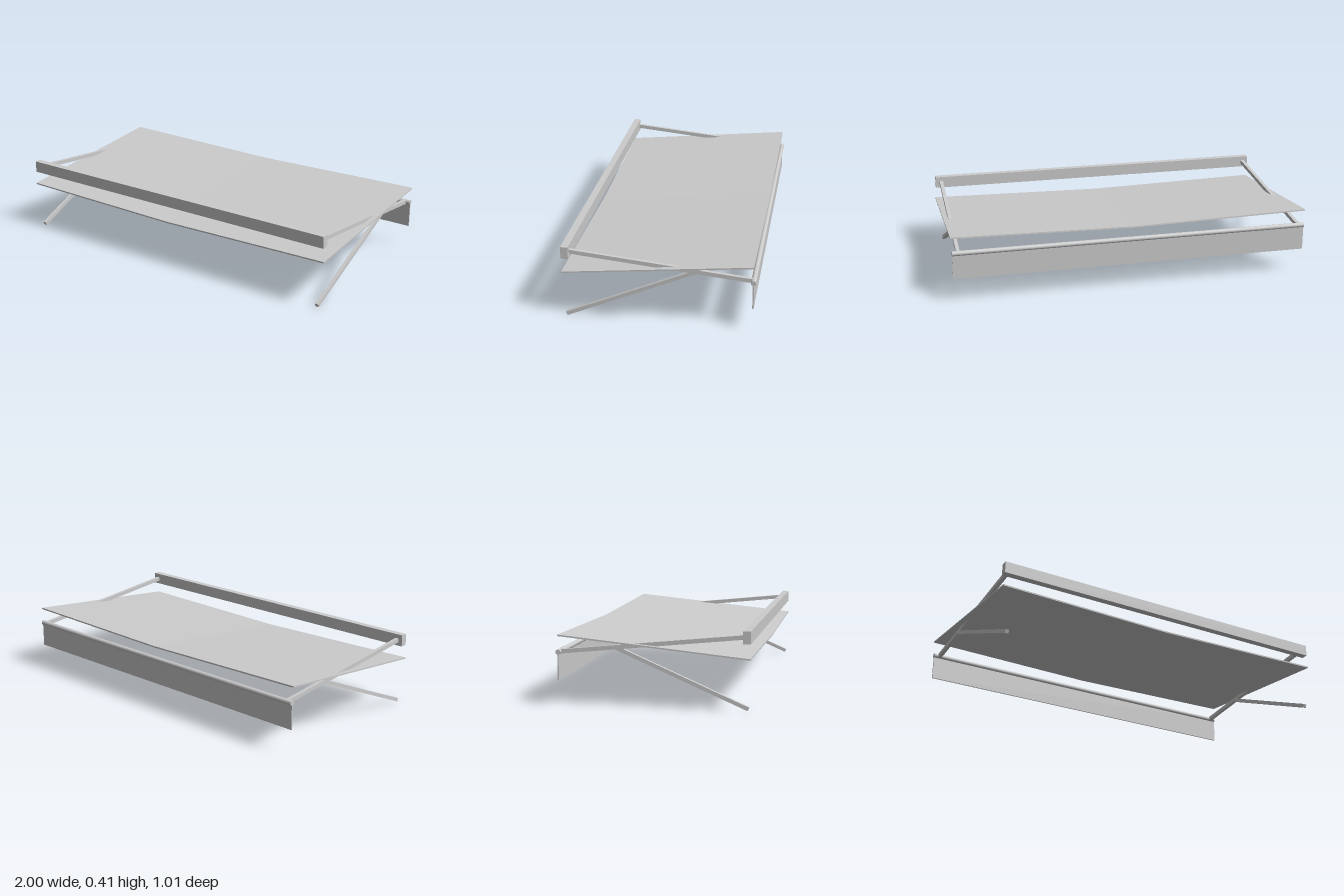
import * as THREE from 'three';

export function createModel() {
  const group = new THREE.Group();
  const grey = new THREE.MeshStandardMaterial({ color: 0xcccccc });
  grey.name = 'light grey';

  const add = (name, geometry, x, y, z) => {
    const mesh = new THREE.Mesh(geometry, grey);
    mesh.name = name;
    mesh.position.set(x, y, z);
    group.add(mesh);
    return mesh;
  };

  // Square bar between two (y, z) points at a given x
  const bar = (name, x, [y0, z0], [y1, z1], size) => {
    const length = Math.hypot(y1 - y0, z1 - z0);
    const mesh = add(name, new THREE.BoxGeometry(0.02, size, length), x, (y0 + y1) / 2, (z0 + z1) / 2);
    mesh.rotation.x = Math.atan2(-(y1 - y0), z1 - z0);
  };

  // Sloping canopy, folded down along its middle
  const drop = 0.019;
  const s = new THREE.Shape();
  s.moveTo(-1, 0.004);
  s.lineTo(-1, -0.004);
  s.lineTo(0, -0.004 - drop);
  s.lineTo(1, -0.004);
  s.lineTo(1, 0.004);
  s.lineTo(0, 0.004 - drop);
  s.closePath();
  const canopyGeometry = new THREE.ExtrudeGeometry(s, { depth: 0.998, bevelEnabled: false });
  canopyGeometry.translate(0, 0, -0.499);
  add('canopy', canopyGeometry, 0, 0.316, 0.007).rotation.x = Math.atan2(0.098, 0.994);

  // Front beam, rear roller and hanging valance
  add('frontBeam', new THREE.BoxGeometry(1.99, 0.065, 0.039), 0, 0.376, 0.485);
  const roller = new THREE.CylinderGeometry(0.0135, 0.0135, 1.99, 24);
  roller.rotateZ(Math.PI / 2);
  add('rearRoller', roller, 0, 0.277, -0.489);
  add('valance', new THREE.BoxGeometry(1.99, 0.145, 0.007), 0, 0.2045, -0.489);

  // Crossing arms and struts on both sides
  for (const side of [-1, 1]) {
    bar('arm', side * 0.962, [0.375, 0.47], [0.277, -0.489], 0.022);
    bar('strut', side * 0.962, [0.011, 0.492], [0.307, -0.195], 0.02);
  }
  return group;
}
